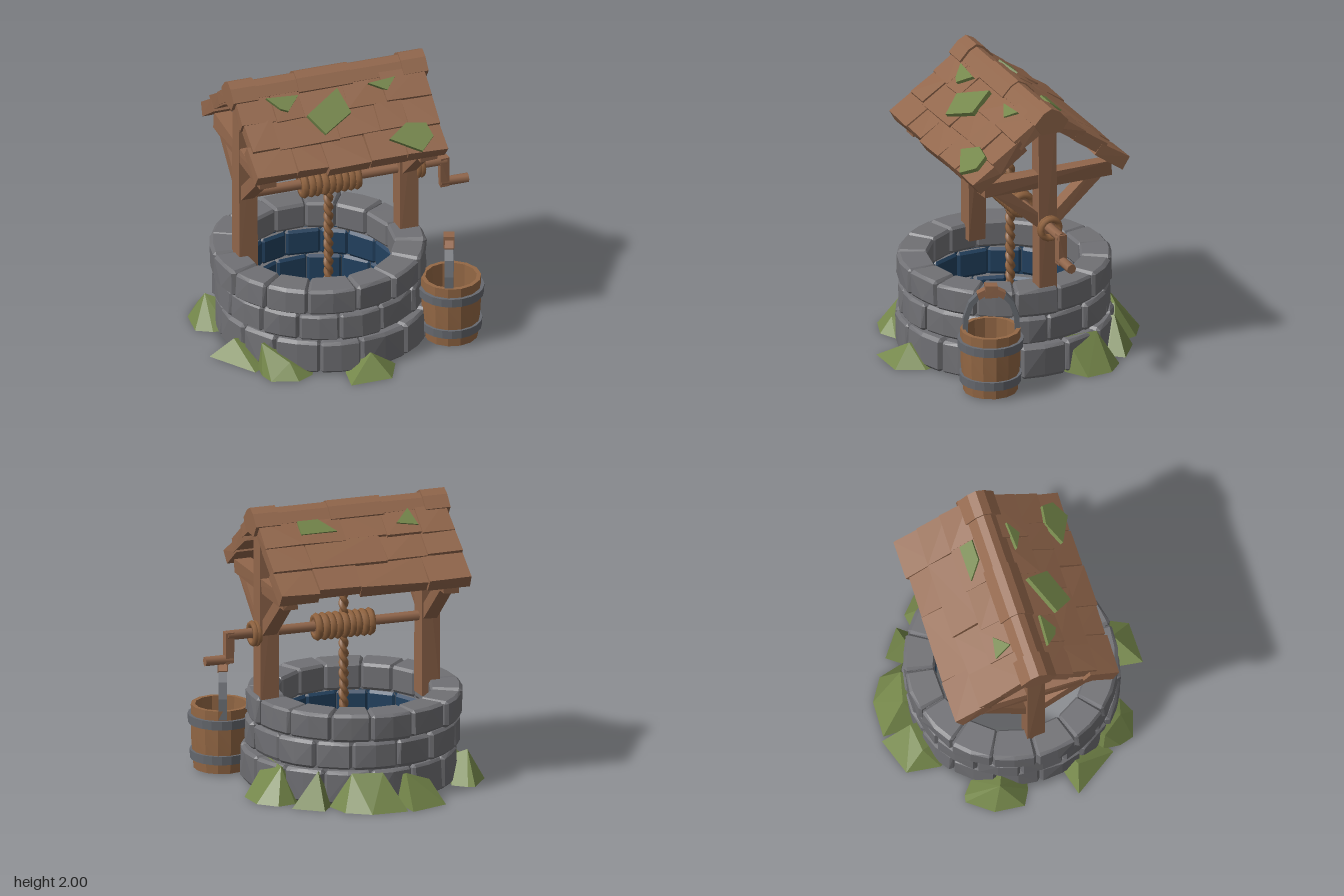
import * as THREE from 'three';
import { toCreasedNormals } from 'three/addons/utils/BufferGeometryUtils.js';
import { ConvexGeometry } from 'three/addons/geometries/ConvexGeometry.js';

const mat = (name, color) => Object.assign(new THREE.MeshStandardMaterial({ color }), { name });
const ROOF_X = -0.06; // middle of the roof
const WELL_X = -0.1; // axis of the stone shaft

let seed = 7;
const rnd = (s = 1) => {
  seed = (seed * 16807) % 2147483647;
  return (seed / 2147483647 - 0.5) * 2 * s;
};
const V = (x, y, z) => new THREE.Vector3(x, y, z);
const polar = (a, r, y) => V(Math.sin(a) * r, y, Math.cos(a) * r);

export function createModel() {
  const wood = mat('wood', 0x91664b);
  const barrelWood = mat('bucketWood', 0x946845);
  const ropeMat = mat('rope', 0x90633f);
  const stone = mat('stone', 0x707074);
  const wet = mat('wetStone', 0x22415f);
  const iron = mat('iron', 0x66696f);
  const moss = mat('moss', 0x74864a);

  const model = new THREE.Group();
  model.name = 'well';
  const add = (name, geo, material, parent = model, pos = [0, 0, 0], rot = [0, 0, 0]) => {
    const m = new THREE.Mesh(geo, material);
    m.name = name;
    m.position.set(...pos);
    m.rotation.set(...rot);
    parent.add(m);
    return m;
  };
  const group = (name, parent, x, y, z) => {
    const g = new THREE.Group();
    g.name = name;
    g.position.set(x, y, z);
    parent.add(g);
    return g;
  };
  const lathe = (pts, n) => toCreasedNormals(new THREE.LatheGeometry(pts.map(p => new THREE.Vector2(...p)), n), 0.3);
  // rough-hewn timber: a box with each corner nudged
  const plank = (w, h, d, j = 0.008) => {
    const pts = [];
    for (const x of [-1, 1]) for (const y of [-1, 1]) for (const z of [-1, 1])
      pts.push(V(x * w / 2 + rnd(j), y * h / 2 + rnd(j), z * d / 2 + rnd(j)));
    return new ConvexGeometry(pts);
  };

  // ---- stone wall: three courses of chamfered wedge stones ----
  const wedge = (a0, a1, y0, y1, R) => {
    const pts = [], c = 0.02, am = (a0 + a1) / 2, ca = c / R;
    for (const y of [y0, y1]) {
      const yi = y === y0 ? y0 + c : y1 - c;
      const lift = rnd(0.004);
      for (const a of [a0, am, a1]) {
        const ai = a + (a === a0 ? ca : a === a1 ? -ca : 0);
        pts.push(polar(ai, R + rnd(0.008), yi), polar(a, R - c, yi), polar(ai, R - c, y + lift));
      }
      for (const a of [a0, a1]) {
        const ai = a + (a === a0 ? ca : -ca);
        pts.push(polar(ai, 0.525, yi), polar(a, 0.54, yi), polar(ai, 0.54, y));
      }
    }
    return new ConvexGeometry(pts);
  };
  // gives the faces on the shaft side the wet colour
  const wetInside = (g) => {
    const p = g.attributes.position;
    let start = 0, last = -1;
    for (let i = 0; i <= p.count; i += 3) {
      let cur = -2;
      if (i < p.count) {
        let x = 0, z = 0;
        for (let k = 0; k < 3; k++) { x += p.getX(i + k) / 3; z += p.getZ(i + k) / 3; }
        cur = Math.hypot(x, z) < 0.56 ? 1 : 0;
      }
      if (cur !== last) {
        if (i > start) g.addGroup(start, i - start, last);
        start = i;
        last = cur;
      }
    }
    return g;
  };
  const N = 15, step = Math.PI * 2 / N;
  // bottom, top, radius, turn, centre x, centre z
  [[0.008, 0.245, 0.745, 0.06, -0.08, 0.02], [0.25, 0.447, 0.73, 0.3, -0.105, 0.012], [0.452, 0.645, 0.735, 0.02, -0.117, 0.008]]
    .forEach(([y0, y1, R, off, cx, cz], row) => {
      const course = group('stoneCourse', model, cx, 0, cz);
      const joints = Array.from({ length: N }, (_, i) => off + i * step + rnd(0.04));
      joints.push(joints[0] + Math.PI * 2);
      for (let i = 0; i < N; i++) {
        const g = wedge(joints[i] + 0.003, joints[i + 1] - 0.003, y0, y1 + rnd(0.004), R + rnd(0.01));
        if (row < 2) add('stone', wetInside(g), [stone, wet], course);
        else add('stone', g, stone, course);
      }
    });
  add('mortar', lathe([[0.56, 0.01], [0.69, 0.01], [0.69, 0.62], [0.56, 0.62], [0.56, 0.45]], 30), stone, model, [WELL_X, 0, 0.01]);
  add('wetMortar', lathe([[0.56, 0.45], [0.56, 0.01]], 30), wet, model, [WELL_X, 0, 0.01]);

  // ---- grass tufts round the foot, and the turf ring below ----
  const turf = group('grass', model, 0, 0, 0);
  add('turfRing', new THREE.RingGeometry(0.53, 0.74, 30), moss, turf, [WELL_X, 0.004, 0.01], [Math.PI / 2, 0, 0]);
  // outer edge on the ground as x, z pairs, then the peaks as x, y, z
  [
    [[[-0.5, -0.62], [-0.47, -0.86], [-0.2, -0.95], [-0.16, -0.65]], [[-0.22, 0.22, -0.75], [-0.4, 0.15, -0.72]]],
    [[[-0.17, -0.65], [-0.17, -0.93], [0.09, -0.92], [0.25, -0.82], [0.3, -0.64]], [[-0.05, 0.24, -0.75], [0.16, 0.24, -0.7]]],
    [[[0.28, -0.62], [0.37, -0.74], [0.56, -0.6], [0.48, -0.5]], [[0.37, 0.25, -0.6]]],
    [[[0.5, -0.5], [0.63, -0.52], [0.75, -0.41], [0.77, -0.22], [0.62, -0.12]], [[0.57, 0.25, -0.14], [0.56, 0.24, -0.38]]],
    [[[-0.75, -0.53], [-0.8, -0.54], [-0.93, -0.37], [-0.95, -0.16], [-0.84, -0.1]], [[-0.83, 0.2, -0.3]]],
    [[[-0.79, 0.17], [-0.98, 0.22], [-0.76, 0.54], [-0.7, 0.5]], [[-0.82, 0.14, 0.27]]],
    [[[-0.72, 0.48], [-0.73, 0.6], [-0.7, 0.7], [-0.52, 0.76], [-0.4, 0.7]], [[-0.7, 0.2, 0.5], [-0.55, 0.1, 0.66]]],
    [[[-0.17, 0.74], [-0.2, 0.935], [0.1, 0.93], [0.19, 0.74]], [[0, 0.14, 0.78]]],
  ].forEach(([base, peaks]) => {
    const inward = (x, y, z) => V(WELL_X + (x - WELL_X) * 0.86, y, z * 0.86);
    const pts = base.map(([x, z]) => V(x, 0, z));
    for (const [x, z] of [base[0], base[base.length - 1]]) pts.push(inward(x, 0, z));
    for (const [x, y, z] of peaks) pts.push(V(x, y, z), inward(x, y * 0.8, z));
    add('grassTuft', new ConvexGeometry(pts), moss, turf);
  });

  // ---- timber frame: post, cross beam and two braces at each end ----
  for (const x of [-0.645, 0.53]) {
    const frame = group('frame', model, x, 0, 0);
    add('post', plank(0.135, 1.36, 0.135), wood, frame, [0, 1.22, 0]);
    add('crossBeam', plank(0.115, 0.11, 0.965), wood, frame, [0, 1.445, 0]);
    for (const s of [-1, 1])
      add('brace', plank(0.1, 0.085, 0.5, 0.004), wood, frame, [0, 1.28, s * 0.215], [-s * 0.73, 0, 0]);
  }

  // ---- roof: three overlapping rows of boards on each slope ----
  const slopes = [1, -1].map((s) => {
    const side = group(s > 0 ? 'frontRoof' : 'backRoof', model, ROOF_X, 1.995, 0);
    side.rotation.set(-0.898, s > 0 ? 0 : Math.PI, 0, 'YXZ');
    return side;
  });
  const rows = [
    [[-0.69, -0.44, -0.24, 0.08, 0.36, 0.69], [-0.68, -0.48, -0.04, 0.26, 0.46, 0.69], [-0.7, -0.4, -0.18, 0.13, 0.4, 0.69]],
    [[-0.69, -0.42, -0.1, 0.2, 0.45, 0.69], [-0.69, -0.41, 0.14, 0.44, 0.69], [-0.69, -0.41, -0.1, 0.39, 0.7]],
  ];
  slopes.forEach((side, i) => rows[i].forEach((xs, r) => {
    for (let k = 0; k + 1 < xs.length; k++) {
      const low = 0.345 + r * 0.204 + rnd(0.012);
      add('roofBoard', plank(xs[k + 1] - xs[k] - 0.004, 0.25, 0.095, 0.006), wood, side,
        [(xs[k] + xs[k + 1]) / 2, 0.125 - low, -0.053 + rnd(0.008)], [-0.08, 0, rnd(0.01)]);
    }
  }));

  // ridge pieces
  const ridge = (x0, x1, s) => {
    const pts = [[0.128, 1.895], [0.06, 1.97], [0, 2], [-0.06, 1.97], [-0.128, 1.895], [-0.075, 1.815], [0.075, 1.815]];
    const shape = new THREE.Shape(pts.map(([z, y]) => new THREE.Vector2(z * s, 1.9 + (y - 1.9) * s)));
    const g = new THREE.ExtrudeGeometry(shape, { depth: x1 - x0, bevelEnabled: false });
    add('ridgePiece', g, wood, model, [x0, 0, 0], [0, Math.PI / 2, 0]);
  };
  [[-0.77, -0.59, 1], [-0.59, -0.29, 0.82], [-0.29, 0.1, 0.95], [0.1, 0.47, 0.85], [0.47, 0.65, 1]].forEach(p => ridge(...p));

  // moss patches: outlines as x and height, laid on the slope
  const patch = (side, depth, pts) => {
    const shape = new THREE.Shape(pts.map(([x, y]) => new THREE.Vector2(x - ROOF_X, (y - 1.995) / 0.6225)));
    add('mossPatch', new THREE.ExtrudeGeometry(shape, { depth, bevelEnabled: false }), moss, side, [0, 0, -0.006]);
  };
  patch(slopes[0], 0.025, [[-0.54, 1.89], [-0.46, 1.83], [-0.41, 1.815], [-0.31, 1.88]]);
  patch(slopes[0], 0.035, [[-0.29, 1.78], [-0.2, 1.68], [0.02, 1.76], [-0.03, 1.88]]);
  patch(slopes[0], 0.025, [[0.2, 1.88], [0.32, 1.835], [0.4, 1.89]]);
  patch(slopes[0], 0.03, [[0.235, 1.61], [0.44, 1.53], [0.545, 1.59], [0.52, 1.655], [0.38, 1.67]]);
  patch(slopes[1], 0.015, [[-0.35, 1.9], [-0.35, 1.83], [-0.09, 1.83], [-0.2, 1.9]].map(([x, y]) => [x - 0.12, y]));
  patch(slopes[1], 0.015, [[0.23, 1.84], [0.38, 1.82], [0.34, 1.91]]);

  // ---- windlass ----
  const bar = (name, r, x0, x1, y) =>
    add(name, toCreasedNormals(new THREE.CylinderGeometry(r, r, x1 - x0, 8), 0.9), wood, model, [(x0 + x1) / 2, y, 0], [0, 0, Math.PI / 2]);
  bar('axle', 0.036, -0.7, 0.82, 1.1);
  bar('drum', 0.07, -0.24, 0.18, 1.1);
  bar('crankHandle', 0.034, 0.78, 0.98, 0.93);
  add('crankArm', plank(0.062, 0.22, 0.062, 0.003), wood, model, [0.805, 1.015, 0]);
  for (let i = 0; i < 9; i++)
    add('ropeCoil', new THREE.TorusGeometry(0.07, 0.028, 6, 18), ropeMat, model, [-0.222 + i * 0.048, 1.095, 0], [rnd(0.3), Math.PI / 2 + rnd(0.08), 0]);
  for (const x of [0.605, 0.63])
    add('hubRope', new THREE.TorusGeometry(0.07, 0.022, 6, 14), ropeMat, model, [x, 1.095, 0], [0, Math.PI / 2, 0]);

  // hanging rope: two strands twisted together
  class Strand extends THREE.Curve {
    constructor(phase) { super(); this.phase = phase; }
    getPoint(t, target = V(0, 0, 0)) {
      const a = this.phase + t * 13 * Math.PI * 2;
      return target.set(Math.cos(a) * 0.016, 0.02 + t * 1.86, Math.sin(a) * 0.016);
    }
  }
  for (const p of [0, Math.PI])
    add('ropeStrand', new THREE.TubeGeometry(new Strand(p), 200, 0.02, 6), ropeMat, model, [-0.035, 0, 0]);

  // ---- bucket ----
  const bucket = group('bucket', model, 0.688, 0, 0.48);
  add('staves', lathe([[0, 0.01], [0.188, 0.01], [0.205, 0.22], [0.208, 0.465], [0.178, 0.465], [0.172, 0.1], [0, 0.1]], 14), barrelWood, bucket);
  for (const [y, r] of [[0.08, 0.2], [0.335, 0.214]])
    add('hoop', lathe([[r - 0.015, y], [r + 0.012, y], [r + 0.015, y + 0.062], [r - 0.015, y + 0.062], [r - 0.015, y]], 20), iron, bucket);
  const handle = group('handle', bucket, -0.01, 0, -0.01);
  handle.rotation.y = Math.PI / 2 - 0.35;
  const band = (name, pts, material) => add(name,
    new THREE.ExtrudeGeometry(new THREE.Shape(pts), { depth: 0.06, bevelEnabled: false }), material, handle, [0, 0, -0.03]);
  for (const s of [1, -1]) {
    const flip = pts => pts.map(([x, y]) => new THREE.Vector2(x * s, y));
    band('handleStrap', flip([[0.2, 0.4], [0.192, 0.55], [0.155, 0.66], [0.1, 0.72], [0.085, 0.685], [0.127, 0.635], [0.158, 0.54], [0.166, 0.4]]), iron);
    band('handleWood', flip([[0.1, 0.727], [0.03, 0.765], [0.03, 0.715], [0.085, 0.68]]), wood);
  }
  add('grip', plank(0.085, 0.085, 0.075, 0.004), wood, handle, [0, 0.74, 0]);

  return model;
}
